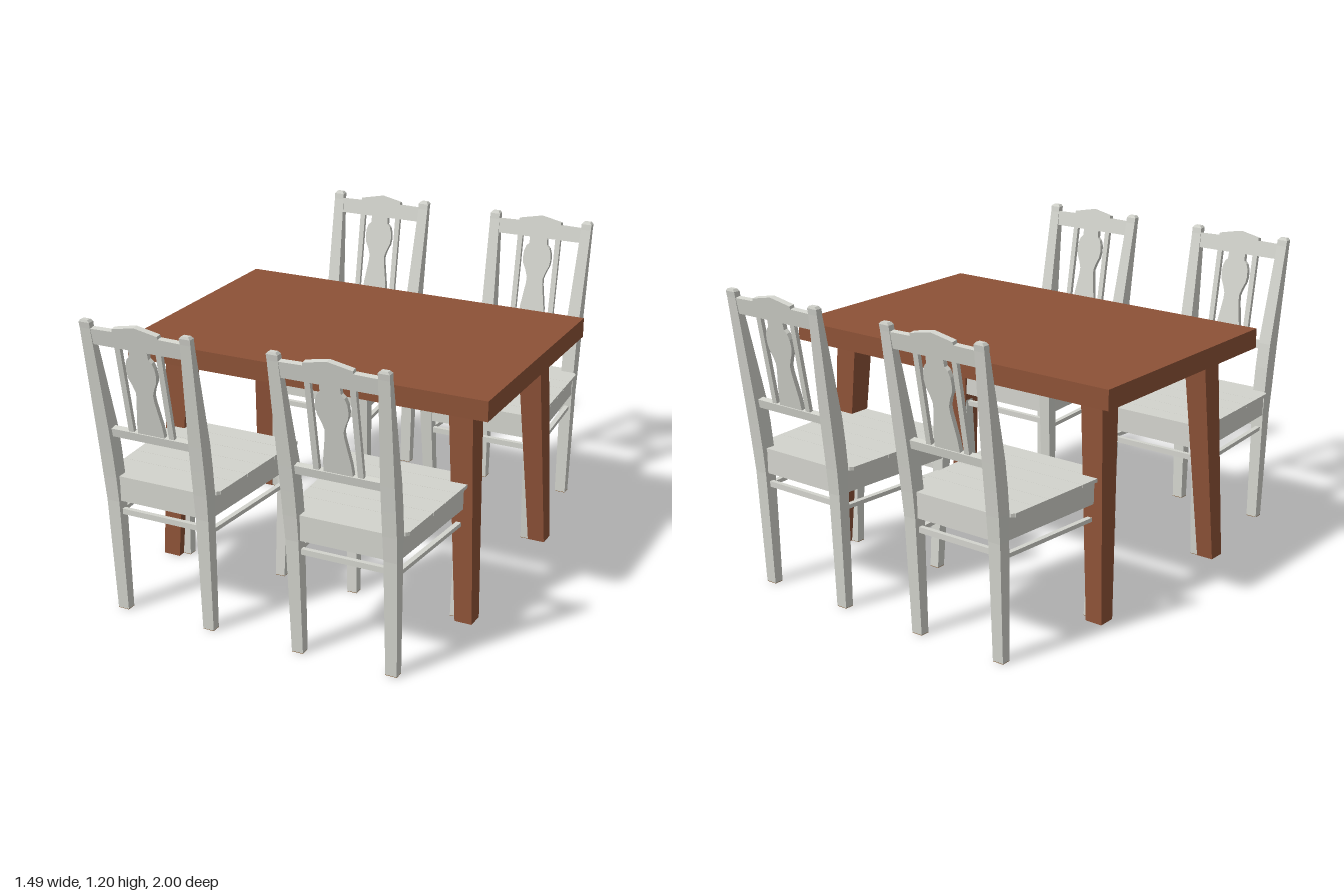
import * as THREE from 'three';

function material(name, color) {
  const m = new THREE.MeshStandardMaterial({ color });
  m.name = name;
  return m;
}
const wood = material('brown wood', 0x8d5237);
const paint = material('pale grey paint', 0xd3d4cd);
const bareWood = material('unpainted wood', 0x8a643e);

// Skins a row of four-cornered rings into a flat-sided solid with closed ends.
function loft(rings) {
  const pos = [];
  const quad = (a, b, c, d) => pos.push(...a, ...b, ...c, ...a, ...c, ...d);
  for (let s = 0; s < rings.length - 1; s++) {
    const a = rings[s], b = rings[s + 1];
    for (let i = 0; i < 4; i++) {
      const j = (i + 1) % 4;
      quad(a[i], a[j], b[j], b[i]);
    }
  }
  const f = rings[0], l = rings[rings.length - 1];
  quad(f[3], f[2], f[1], f[0]);
  quad(l[0], l[1], l[2], l[3]);
  const g = new THREE.BufferGeometry();
  g.setAttribute('position', new THREE.Float32BufferAttribute(pos, 3));
  g.computeVertexNormals();
  return g;
}

// Upright member: sections [y, xInner, xOuter, zInner, zOuter], mirrored by the signs.
function upright(sections, sx = 1, sz = 1) {
  return loft(sections.map(([y, xa, xb, za, zb]) => {
    const [x0, x1] = sx > 0 ? [xa, xb] : [-xb, -xa];
    const [z0, z1] = sz > 0 ? [za, zb] : [-zb, -za];
    return [[x0, y, z1], [x1, y, z1], [x1, y, z0], [x0, y, z0]];
  }));
}

// Lengthwise member: sections [z, x0, x1], constant height y0..y1.
function lengthwise(sections, y0, y1) {
  return loft(sections.map(([z, x0, x1]) =>
    [[x0, y0, z], [x1, y0, z], [x1, y1, z], [x0, y1, z]]));
}

function add(group, name, geometry, mat) {
  const mesh = new THREE.Mesh(geometry, mat);
  mesh.name = name;
  group.add(mesh);
  return mesh;
}

function bar(group, name, w, h, d, x, y, z, mat = paint) {
  add(group, name, new THREE.BoxGeometry(w, h, d), mat).position.set(x, y, z);
}

// Table top is a panel with a deeper rim, hollow underneath.
function createTable() {
  const table = new THREE.Group();
  table.name = 'table';
  bar(table, 'tableTop', 1.494, 0.032, 1, 0, 0.924, 0, wood);
  for (const s of [-1, 1]) {
    bar(table, 'longRim', 1.494, 0.046, 0.03, 0, 0.885, s * 0.485, wood);
    bar(table, 'shortRim', 0.03, 0.046, 0.94, s * 0.732, 0.885, 0, wood);
    for (const sz of [-1, 1]) {
      add(table, 'tableLeg', upright([
        [0, 0.605, 0.675, 0.35, 0.42],
        [0.91, 0.547, 0.643, 0.287, 0.388],
      ], s, sz), wood);
    }
  }
  return table;
}

// Leaning back panel, drawn flat with its own y starting at the lower rail.
function createBackPanel() {
  const panel = new THREE.Group();
  panel.name = 'backPanel';
  const extrude = (name, shape, depth) => {
    const g = new THREE.ExtrudeGeometry(shape, { depth, bevelEnabled: false, curveSegments: 6 });
    g.translate(0, 0, -depth / 2);
    add(panel, name, g, paint);
  };
  bar(panel, 'lowerBackRail', 0.35, 0.033, 0.026, 0, 0.016, 0);
  for (const s of [-1, 1]) bar(panel, 'backSlat', 0.022, 0.36, 0.016, s * 0.085, 0.2, 0);

  // vase-shaped splat
  const half = [[0.057, 0.02], [0.053, 0.08], [0.045, 0.13], [0.037, 0.18], [0.036, 0.205],
    [0.046, 0.235], [0.058, 0.26], [0.062, 0.285], [0.06, 0.315], [0.052, 0.338],
    [0.04, 0.35], [0.038, 0.39]];
  const splat = [...half, ...half.slice().reverse().map(([x, y]) => [-x, y])];
  extrude('backSplat', new THREE.Shape(splat.map(([x, y]) => new THREE.Vector2(x, y))), 0.018);

  // crest rail with a raised middle
  const crest = new THREE.Shape();
  crest.moveTo(-0.187, 0.378);
  crest.lineTo(0.187, 0.378);
  crest.lineTo(0.187, 0.439);
  crest.lineTo(0.095, 0.441);
  crest.lineTo(0.093, 0.452);
  crest.quadraticCurveTo(0.04, 0.463, 0, 0.471);
  crest.quadraticCurveTo(-0.04, 0.463, -0.093, 0.452);
  crest.lineTo(-0.095, 0.441);
  crest.lineTo(-0.187, 0.439);
  extrude('crestRail', crest, 0.022);

  panel.position.set(0, 0.73, 0.907);
  panel.rotation.x = 0.175;
  return panel;
}

// Chair with its back at +z, facing the table.
function createChair() {
  const chair = new THREE.Group();
  chair.name = 'chair';

  for (const s of [-1, 1]) {
    add(chair, 'backPost', upright([
      [0.002, 0.165, 0.21, 0.85, 0.887],
      [0.46, 0.165, 0.217, 0.858, 0.908],
      [0.56, 0.165, 0.22, 0.86, 0.918],
      [0.66, 0.166, 0.221, 0.87, 0.93],
      [0.76, 0.168, 0.222, 0.884, 0.943],
      [1.16, 0.184, 0.227, 0.97, 0.996],
      [1.183, 0.184, 0.228, 0.973, 1],
      [1.192, 0.192, 0.22, 0.978, 0.998],
    ], s), paint);
    add(chair, 'frontLeg', upright([
      [0.002, 0.197, 0.236, 0.352, 0.388],
      [0.54, 0.204, 0.254, 0.316, 0.362],
    ], s), paint);

    // bare wood under the feet
    add(chair, 'backFootSole', upright([
      [0, 0.165, 0.21, 0.85, 0.887], [0.002, 0.165, 0.21, 0.85, 0.887]], s), bareWood);
    add(chair, 'frontFootSole', upright([
      [0, 0.197, 0.236, 0.352, 0.388], [0.002, 0.197, 0.236, 0.352, 0.388]], s), bareWood);

    // side apron and side stretcher splay out towards the front
    const side = (rear, front, t) => s > 0
      ? [[0.335, front - t, front], [0.875, rear - t, rear]]
      : [[0.335, -front, t - front], [0.875, -rear, t - rear]];
    add(chair, 'sideApron', lengthwise(side(0.214, 0.252, 0.022), 0.46, 0.546), paint);
    add(chair, 'sideApronLining', lengthwise(side(0.192, 0.23, 0.004), 0.46, 0.546), bareWood);
    add(chair, 'sideStretcher', lengthwise(side(0.205, 0.247, 0.02), 0.39, 0.406), paint);
  }

  bar(chair, 'backApron', 0.35, 0.09, 0.022, 0, 0.505, 0.885);
  bar(chair, 'backApronLining', 0.37, 0.086, 0.004, 0, 0.503, 0.872, bareWood);
  bar(chair, 'frontApron', 0.43, 0.086, 0.022, 0, 0.503, 0.335);
  bar(chair, 'frontApronLining', 0.43, 0.086, 0.004, 0, 0.503, 0.348, bareWood);
  bar(chair, 'backStretcher', 0.35, 0.022, 0.018, 0, 0.414, 0.88);
  bar(chair, 'frontStretcher', 0.42, 0.022, 0.018, 0, 0.414, 0.347);

  // seat planks over a thin bare backing board
  const halfWidth = z => 0.235 + (0.86 - z) * 0.055;
  const plank = (z0, z1, y0, y1, inset) => lengthwise([z0, z1].map(z =>
    [z, inset - halfWidth(z), halfWidth(z) - inset]), y0, y1);
  add(chair, 'seatBoard', plank(0.34, 0.874, 0.538, 0.549, 0.03), bareWood);
  const seams = [0.315, 0.395, 0.485, 0.575, 0.668, 0.75, 0.846];
  for (let i = 0; i < seams.length - 1; i++) {
    add(chair, 'seatPlank', plank(seams[i] + 0.0005, seams[i + 1] - 0.0005, 0.546, 0.56, 0), paint);
  }
  // rear seat edge narrows to sit between the posts
  add(chair, 'seatRearEdge', lengthwise([
    [0.8455, -0.235, 0.235], [0.858, -0.225, 0.225], [0.862, -0.17, 0.17], [0.898, -0.17, 0.17],
  ], 0.546, 0.56), paint);

  chair.add(createBackPanel());
  return chair;
}

export function createModel() {
  const model = new THREE.Group();
  model.name = 'diningSet';
  model.add(createTable());
  for (const x of [-0.375, 0.375]) for (const turn of [0, Math.PI]) {
    const chair = createChair();
    chair.position.x = x;
    chair.rotation.y = turn;
    model.add(chair);
  }
  return model;
}
